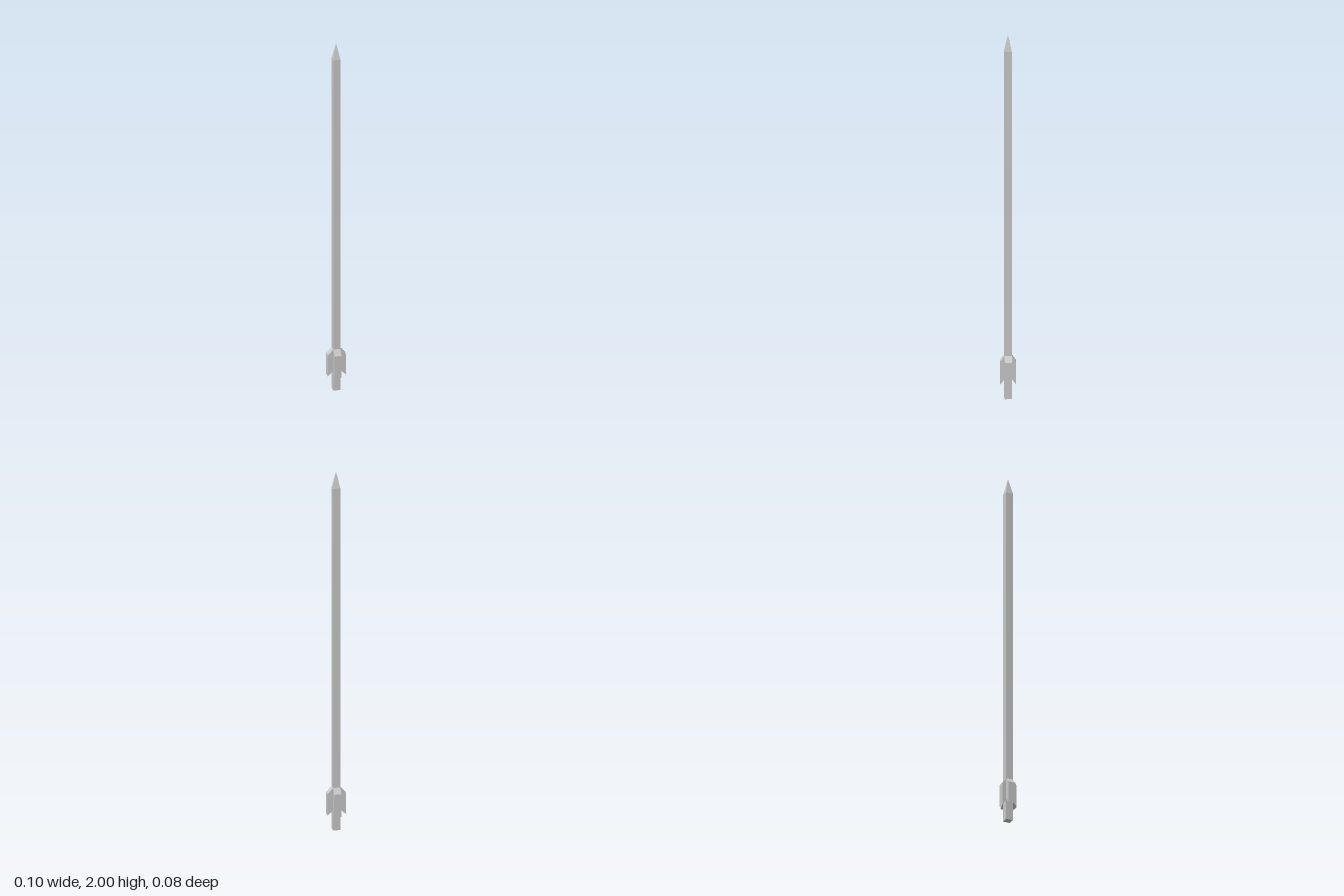
import * as THREE from 'three';

const material = new THREE.MeshStandardMaterial({ color: 0xcccccc, flatShading: true });
const HALF = 0.0195;          // half width of the square shaft
const SHOULDER = 1.91;        // where the point begins

function add(parent, name, geometry) {
  const mesh = new THREE.Mesh(geometry, material);
  mesh.name = name;
  parent.add(mesh);
  return mesh;
}

// Swept fin block: slanted top, undercut bottom, as wide as the shaft
function finGeometry(reach, bottom) {
  const shape = new THREE.Shape([
    new THREE.Vector2(0.01, 0.238),
    new THREE.Vector2(HALF, 0.238),
    new THREE.Vector2(reach, 0.207),
    new THREE.Vector2(reach, bottom),
    new THREE.Vector2(HALF, bottom + 0.03),
    new THREE.Vector2(0.01, bottom + 0.03),
  ]);
  const geometry = new THREE.ExtrudeGeometry(shape, { depth: 2 * HALF, bevelEnabled: false });
  return geometry.translate(0, 0, -HALF);
}

export function createModel() {
  const model = new THREE.Group();
  model.name = 'bolt';

  // Square shaft
  add(model, 'shaft', new THREE.BoxGeometry(2 * HALF, SHOULDER, 2 * HALF))
    .position.set(-0.0007, SHOULDER / 2, -0.001);

  // Pyramid point
  const point = new THREE.CylinderGeometry(0, HALF * Math.SQRT2, 2 - SHOULDER, 4, 1, true, Math.PI / 4);
  add(model, 'point', point).position.set(-0.0007, (2 + SHOULDER) / 2, -0.001);

  // Four fins around the tail: wider pair on x, narrower pair on z
  for (let i = 0; i < 4; i++) {
    const onX = i % 2 === 0;
    const fin = add(model, 'fin' + (i + 1), finGeometry(onX ? 0.0495 : 0.042, onX ? 0.086 : 0.08));
    fin.rotation.y = i * Math.PI / 2;
    fin.position.set(-0.0007, 0, -0.001);
  }

  return model;
}
